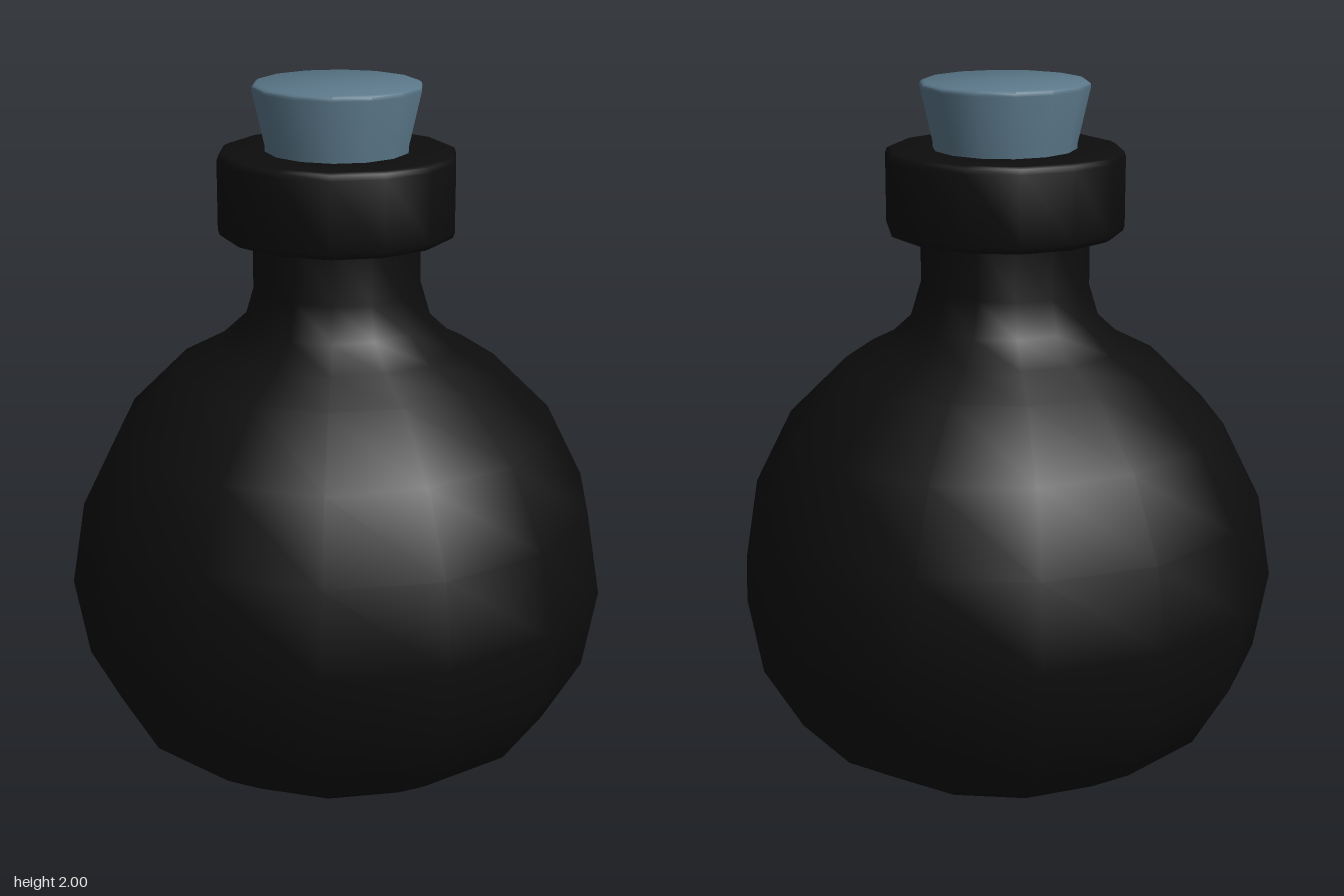
import * as THREE from 'three';
import { toCreasedNormals } from 'three/addons/utils/BufferGeometryUtils.js';

const SIDES = 14;

// Turned part from a [radius, height] profile, listed from bottom to top on the outside
function turned(name, profile, material, crease) {
  const points = profile.map(([r, y]) => new THREE.Vector2(r, y));
  const geometry = new THREE.LatheGeometry(points, SIDES, Math.PI / 2);
  const mesh = new THREE.Mesh(toCreasedNormals(geometry, crease), material);
  mesh.name = name;
  return mesh;
}

export function createModel() {
  const group = new THREE.Group();
  group.name = 'corkedFlask';

  const glass = new THREE.MeshStandardMaterial({ color: 0x0d0d0d });
  const cork = new THREE.MeshStandardMaterial({ color: 0x5b788a });

  // Round belly flowing into a short straight neck
  group.add(turned('bottleBody', [
    [0, 0], [0.24, 0.005], [0.46, 0.04], [0.63, 0.15], [0.74, 0.34],
    [0.78, 0.57], [0.74, 0.81], [0.63, 1.03], [0.46, 1.2], [0.345, 1.26],
    [0.27, 1.33], [0.24, 1.43], [0.24, 1.6],
  ], glass, 1.0));

  // Thick lip with small bevels, closed around the stopper
  group.add(turned('lip', [
    [0.19, 1.58], [0.32, 1.58], [0.332, 1.586], [0.337, 1.6],
    [0.337, 1.795], [0.332, 1.809], [0.32, 1.815], [0.19, 1.815], [0.19, 1.58],
  ], glass, 0.9));

  // Tapered stopper with a softened top edge
  group.add(turned('stopper', [
    [0, 1.6], [0.203, 1.6], [0.203, 1.83], [0.238, 1.985],
    [0.237, 1.994], [0.228, 2], [0, 2],
  ], cork, 0.9));

  return group;
}
